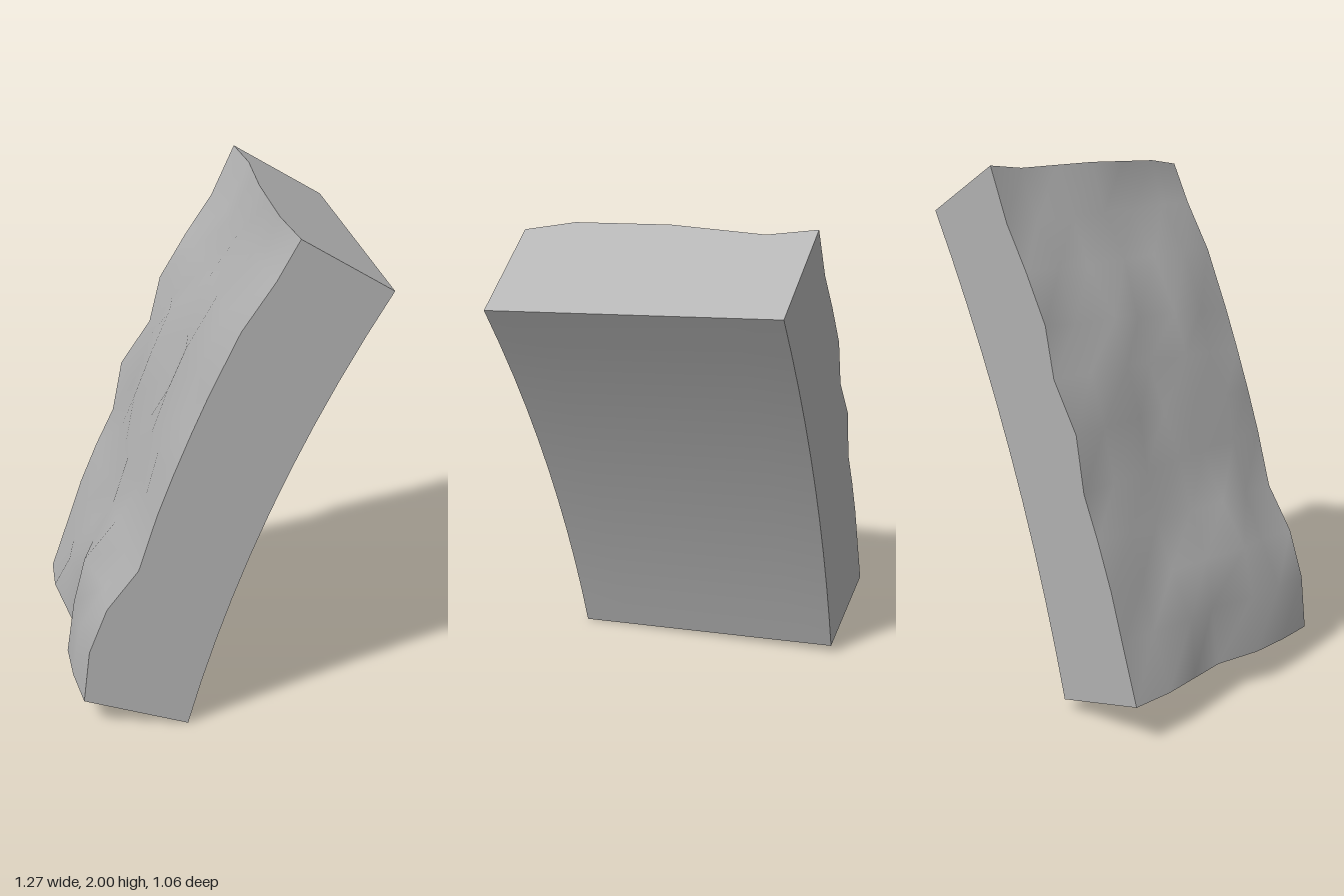
import * as THREE from 'three';

const ROWS = 10, COLS = 6, HALF = 0.53;

// Rough side: outline [x, y] at the back end and at the front end, bottom to top
const BACK = [[-0.635, 0.15], [-0.56, 0.37], [-0.5, 0.55], [-0.43, 0.72], [-0.355, 0.88], [-0.315, 1.09],
  [-0.195, 1.27], [-0.15, 1.46], [-0.045, 1.64], [0.06, 1.8], [0.15, 2.0]];
const FRONT = [[-0.485, 0.11], [-0.46, 0.32], [-0.39, 0.5], [-0.27, 0.66], [-0.2, 0.88], [-0.14, 1.04],
  [-0.075, 1.2], [-0.01, 1.35], [0.1, 1.58], [0.22, 1.76], [0.302, 1.91]];

// Bumps of the rough side between the two ends, one line per row
const BUMPS = [
  [-0.01, 0.015, 0.04, -0.02, -0.02],
  [0.01, -0.02, 0.03, -0.03, -0.02],
  [0.01, 0.02, 0.0, -0.05, 0.01],
  [-0.01, 0.02, -0.01, -0.03, -0.01],
  [0.01, 0.0, -0.02, 0.01, -0.01],
  [0.02, -0.01, 0.02, -0.01, -0.02],
  [-0.02, -0.04, 0.01, -0.03, 0.0],
  [0.02, -0.02, 0.02, -0.02, -0.01],
  [0.0, 0.02, -0.01, -0.01, -0.02],
  [0.02, 0.0, -0.01, 0.01, -0.01],
  [0.02, 0.0, -0.02, -0.025, -0.03],
];

const lerp = THREE.MathUtils.lerp;
const zAt = (j) => lerp(-HALF, HALF, j / COLS);

// Point on the rough side; bumps move along the thickness of the slab
function outer(i, j) {
  const s = j / COLS;
  const d = j > 0 && j < COLS ? BUMPS[i][j - 1] : 0;
  const slope = lerp(0.275, 0.58, i / ROWS);
  return [lerp(BACK[i][0], FRONT[i][0], s) + d, lerp(BACK[i][1], FRONT[i][1], s) - slope * d, zAt(j)];
}

// Point on the smooth, gently bowed side
function inner(i, j) {
  const s = j / COLS, t = i / ROWS, bow = 4 * t * (1 - t);
  const x = lerp(lerp(-0.235, -0.09, s), lerp(0.5, 0.632, s), t) - 0.06 * bow;
  const y = lerp(lerp(0.04, 0, s), lerp(1.8, 1.72, s), t) + 0.025 * bow;
  return [x, y, zAt(j)];
}

// Grid surface whose front faces along u cross v
function surface(nu, nv, point) {
  const pos = [], index = [];
  for (let u = 0; u <= nu; u++) for (let v = 0; v <= nv; v++) pos.push(...point(u, v));
  for (let u = 0; u < nu; u++) {
    for (let v = 0; v < nv; v++) {
      const a = u * (nv + 1) + v, b = a + nv + 1;
      index.push(a, b, b + 1, a, b + 1, a + 1);
    }
  }
  const geo = new THREE.BufferGeometry();
  geo.setAttribute('position', new THREE.Float32BufferAttribute(pos, 3));
  geo.setIndex(index);
  geo.computeVertexNormals();
  return geo;
}

export function createModel() {
  const group = new THREE.Group();
  group.name = 'rockSlab';
  const stone = new THREE.MeshStandardMaterial({ color: 0xb0b0b0 });
  stone.name = 'grey stone';
  const add = (name, geo) => {
    const mesh = new THREE.Mesh(geo, stone);
    mesh.name = name;
    group.add(mesh);
  };
  // Across the thickness: 0 is the rough side, 1 the smooth side
  const across = (k, i, j) => (k ? inner(i, j) : outer(i, j));

  add('smoothSide', surface(ROWS, COLS, inner));
  add('roughSide', surface(COLS, ROWS, (j, i) => outer(i, j)));
  add('frontEnd', surface(1, ROWS, (k, i) => across(k, i, COLS)));
  add('backEnd', surface(ROWS, 1, (i, k) => across(k, i, 0)));
  add('topFace', surface(COLS, 1, (j, k) => across(k, ROWS, j)));
  add('bottomFace', surface(1, COLS, (k, j) => across(k, 0, j)));
  return group;
}
